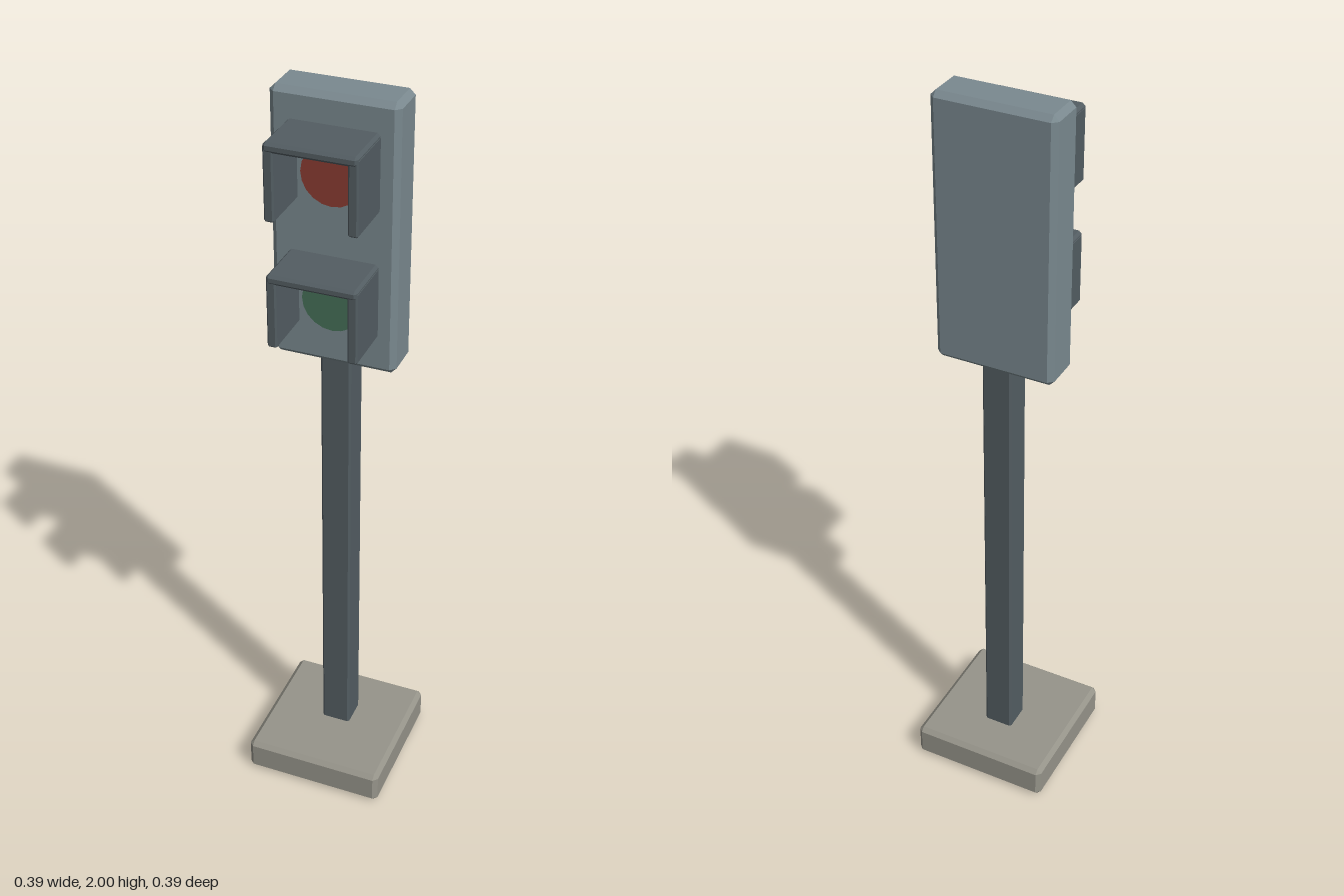
import * as THREE from 'three';
import { ConvexGeometry } from 'three/addons/geometries/ConvexGeometry.js';

const material = (color) => new THREE.MeshStandardMaterial({ color, flatShading: true });

// Box with every edge and corner cut at 45 degrees by c
function chamferBox(w, h, d, c) {
  const points = [];
  for (const sx of [-1, 1]) for (const sy of [-1, 1]) for (const sz of [-1, 1]) {
    const x = w / 2, y = h / 2, z = d / 2;
    points.push(
      new THREE.Vector3(sx * x, sy * (y - c), sz * (z - c)),
      new THREE.Vector3(sx * (x - c), sy * y, sz * (z - c)),
      new THREE.Vector3(sx * (x - c), sy * (y - c), sz * z),
    );
  }
  return new ConvexGeometry(points);
}

export function createModel() {
  const model = new THREE.Group();
  model.name = 'trafficLight';

  const concrete = material(0x96948a);
  const darkMetal = material(0x535d62);
  const panelMetal = material(0x7a898f);
  const red = material(0x8a3c32);
  const green = material(0x467058);

  // Adds a chamfered block given its min and max on each axis
  function block(parent, name, mat, [x0, x1], [y0, y1], [z0, z1], c) {
    const mesh = new THREE.Mesh(chamferBox(x1 - x0, y1 - y0, z1 - z0, c), mat);
    mesh.position.set((x0 + x1) / 2, (y0 + y1) / 2, (z0 + z1) / 2);
    mesh.name = name;
    parent.add(mesh);
  }

  block(model, 'base', concrete, [-0.193, 0.193], [0, 0.094], [-0.193, 0.193], 0.012);
  block(model, 'post', darkMetal, [-0.04, 0.04], [0.08, 1.33], [-0.068, 0.013], 0.005);
  block(model, 'housing', panelMetal, [-0.159, 0.159], [1.303, 2], [-0.086, 0.026], 0.014);

  // One lamp: round lens under a three-sided hood, y measured from the lens centre
  function lamp(name, y, lensMaterial) {
    const group = new THREE.Group();
    group.name = name;
    group.position.y = y;

    const lens = new THREE.Mesh(new THREE.CylinderGeometry(0.077, 0.077, 0.025, 20), lensMaterial);
    lens.rotation.x = Math.PI / 2;
    lens.position.z = 0.024;
    lens.name = 'lens';
    group.add(lens);

    block(group, 'hoodTop', darkMetal, [-0.113, 0.113], [0.094, 0.119], [0.015, 0.168], 0.007);
    for (const s of [-1, 1]) {
      const span = s < 0 ? [-0.114, -0.089] : [0.089, 0.114];
      block(group, 'hoodSide', darkMetal, span, [-0.076, 0.112], [0.015, 0.164], 0.004);
    }
    model.add(group);
  }

  lamp('stopLamp', 1.808, red);
  lamp('goLamp', 1.479, green);

  return model;
}
